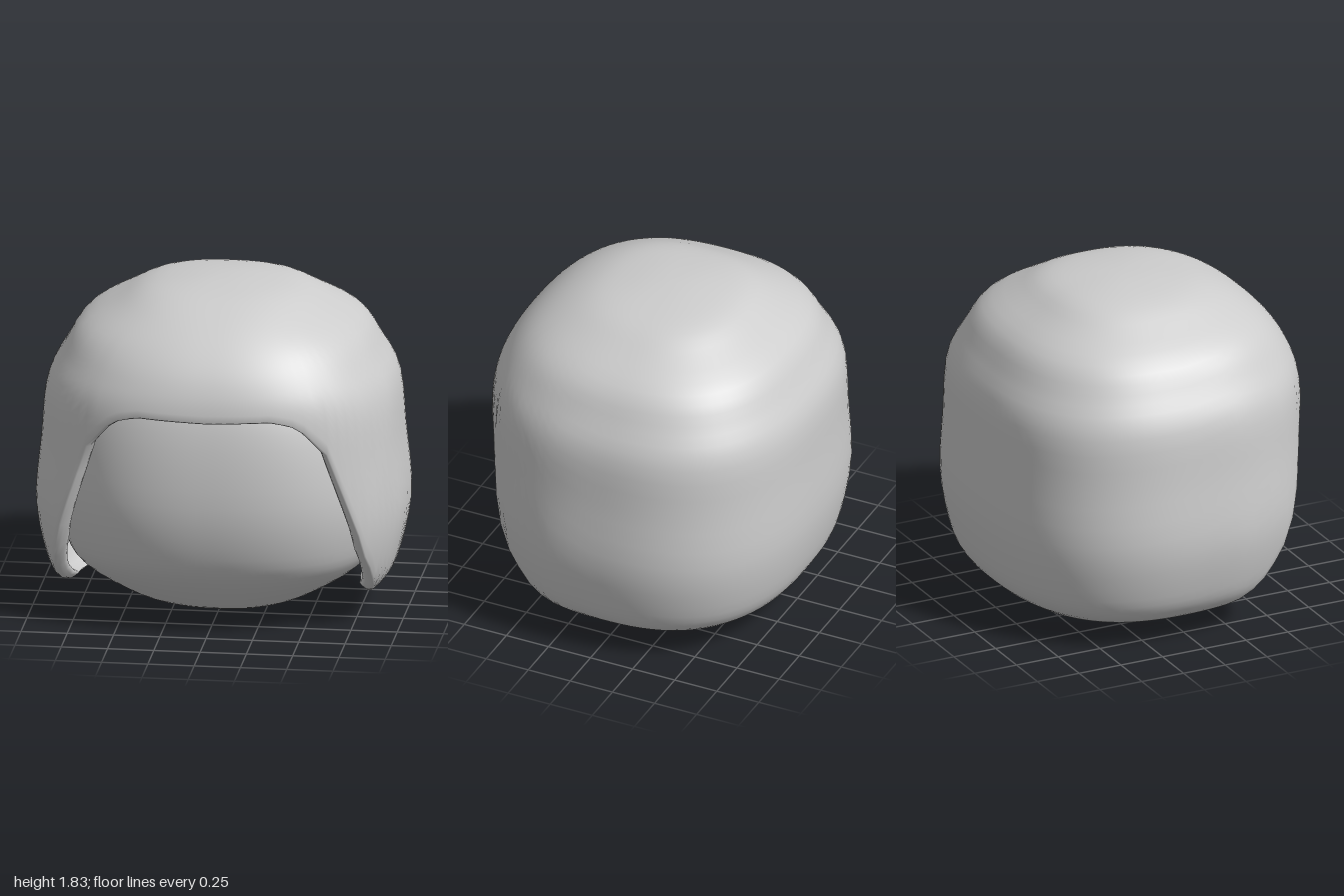
import * as THREE from 'three';
import { mergeVertices } from 'three/addons/utils/BufferGeometryUtils.js';

const COLUMNS = 96;

// Cross-sections from top to bottom: [y, half width, front depth, back depth]
const SHELL = [
  [1.825, 0, 0, 0], [1.815, 0.2, 0.2, 0.19], [1.78, 0.4, 0.4, 0.38],
  [1.7, 0.56, 0.58, 0.52], [1.58, 0.75, 0.73, 0.7], [1.43, 0.85, 0.84, 0.79],
  [1.25, 0.94, 0.895, 0.87], [0.95, 0.97, 0.9, 0.885], [0.6, 1, 0.9, 0.895],
  [0.32, 0.95, 0.86, 0.85], [0.19, 0.89, 0.8, 0.79], [0.12, 0.8, 0.72, 0.7],
];
const HEAD = [
  [1.66, 0, 0, 0], [1.6, 0.4, 0.4, 0.36], [1.4, 0.7, 0.68, 0.62],
  [1.15, 0.83, 0.8, 0.74], [0.75, 0.885, 0.84, 0.79], [0.45, 0.85, 0.79, 0.75],
  [0.28, 0.77, 0.69, 0.65], [0.12, 0.53, 0.5, 0.47], [0.04, 0.34, 0.33, 0.31],
  [0.01, 0.2, 0.2, 0.19], [0, 0, 0, 0],
];

// Height of the shell's lower edge by angle from the front: [degrees, y]
const HEM = [
  [0, 1.25], [23.5, 1.26], [32, 1.22], [41.5, 1.05], [48, 0.75], [55.5, 0.45],
  [65, 0.25], [73, 0.155], [90, 0.13], [130, 0.121], [180, 0.121],
];

function hemHeight(angle) {
  const deg = THREE.MathUtils.radToDeg(Math.abs(angle));
  const i = Math.max(1, HEM.findIndex((h) => h[0] >= deg - 1e-6));
  const [d0, y0] = HEM[i - 1], [d1, y1] = HEM[i];
  return y0 + (y1 - y0) * (deg - d0) / (d1 - d0);
}

// Smooth interpolation of a section table at s = 0..1
function sectionAt(table, s) {
  const last = table.length - 1;
  const u = s * last, i = Math.min(Math.floor(u), last - 1), t = u - i;
  const mirror = ([y, ...r]) => [y, ...r.map((v) => -v)];
  const p0 = i > 0 ? table[i - 1] : mirror(table[1]);
  const p1 = table[i], p2 = table[i + 1];
  const p3 = i + 2 <= last ? table[i + 2] : (p2[1] === 0 ? mirror(p1) : p2);
  return p1.map((v, k) => {
    const m1 = (p2[k] - p0[k]) / 2, m2 = (p3[k] - v) / 2;
    const t2 = t * t, t3 = t2 * t;
    return (2 * t3 - 3 * t2 + 1) * v + (t3 - 2 * t2 + t) * m1
      + (3 * t2 - 2 * t3) * p2[k] + (t3 - t2) * m2;
  });
}

// Height and radius of the rounded-square section in one direction
function ringPoint(table, s, angle) {
  const [y, a, f, b] = sectionAt(table, s);
  if (a < 1e-5) return { y, r: 0 };
  const n = 2.5, depth = Math.cos(angle) >= 0 ? f : b;
  const sum = Math.abs(Math.sin(angle) / a) ** n + Math.abs(Math.cos(angle) / depth) ** n;
  return { y, r: sum ** (-1 / n) };
}

// Skin made of vertical columns arranged around the y axis
function skin(column) {
  const positions = [], index = [];
  let rows = 0;
  for (let j = 0; j < COLUMNS; j++) {
    const angle = (j / COLUMNS) * Math.PI * 2;
    const wrapped = angle > Math.PI ? angle - Math.PI * 2 : angle;
    const points = column(wrapped);
    rows = points.length;
    for (const { y, r } of points) positions.push(r * Math.sin(angle), y, r * Math.cos(angle));
  }
  for (let j = 0; j < COLUMNS; j++) {
    for (let i = 0; i < rows - 1; i++) {
      const a = j * rows + i, d = ((j + 1) % COLUMNS) * rows + i;
      index.push(a, a + 1, d + 1, a, d + 1, d);
    }
  }
  const geometry = new THREE.BufferGeometry();
  geometry.setAttribute('position', new THREE.Float32BufferAttribute(positions, 3));
  geometry.setIndex(index);
  const merged = mergeVertices(geometry, 1e-5);
  merged.computeVertexNormals();
  return merged;
}

// Outer wall down to the hem, rounded lip, then inner wall back up
function shellColumn(angle) {
  const hem = hemHeight(angle), rows = 36, thickness = 0.08;
  let lo = 0, hi = 1;
  for (let k = 0; k < 30; k++) {
    const mid = (lo + hi) / 2;
    if (sectionAt(SHELL, mid)[0] > hem) lo = mid; else hi = mid;
  }
  const points = [];
  for (let i = 0; i <= rows; i++) points.push(ringPoint(SHELL, hi * i / rows, angle));
  const edge = points[rows];
  for (const [inset, drop] of [[0.012, 0.008], [0.035, 0.008], [0.06, -0.006]]) {
    points.push({ y: edge.y - drop, r: edge.r - inset });
  }
  for (let i = rows; i >= 0; i -= 2) {
    const { y, r } = points[i];
    const lift = i === rows ? 0.025 : 0;
    points.push({ y: y + lift - thickness * (1 - Math.min(1, r / 0.8)), r: Math.max(0, r - thickness) });
  }
  return points;
}

function headColumn(angle) {
  return Array.from({ length: 41 }, (_, i) => ringPoint(HEAD, i / 40, angle));
}

export function createModel() {
  const group = new THREE.Group();
  group.name = 'headWithCap';
  const grey = new THREE.MeshStandardMaterial({ color: 0xcccccc });
  grey.name = 'light grey';

  const head = new THREE.Mesh(skin(headColumn), grey);
  head.name = 'head';
  const shell = new THREE.Mesh(skin(shellColumn), grey);
  shell.name = 'hairShell';

  group.add(head, shell);
  return group;
}
